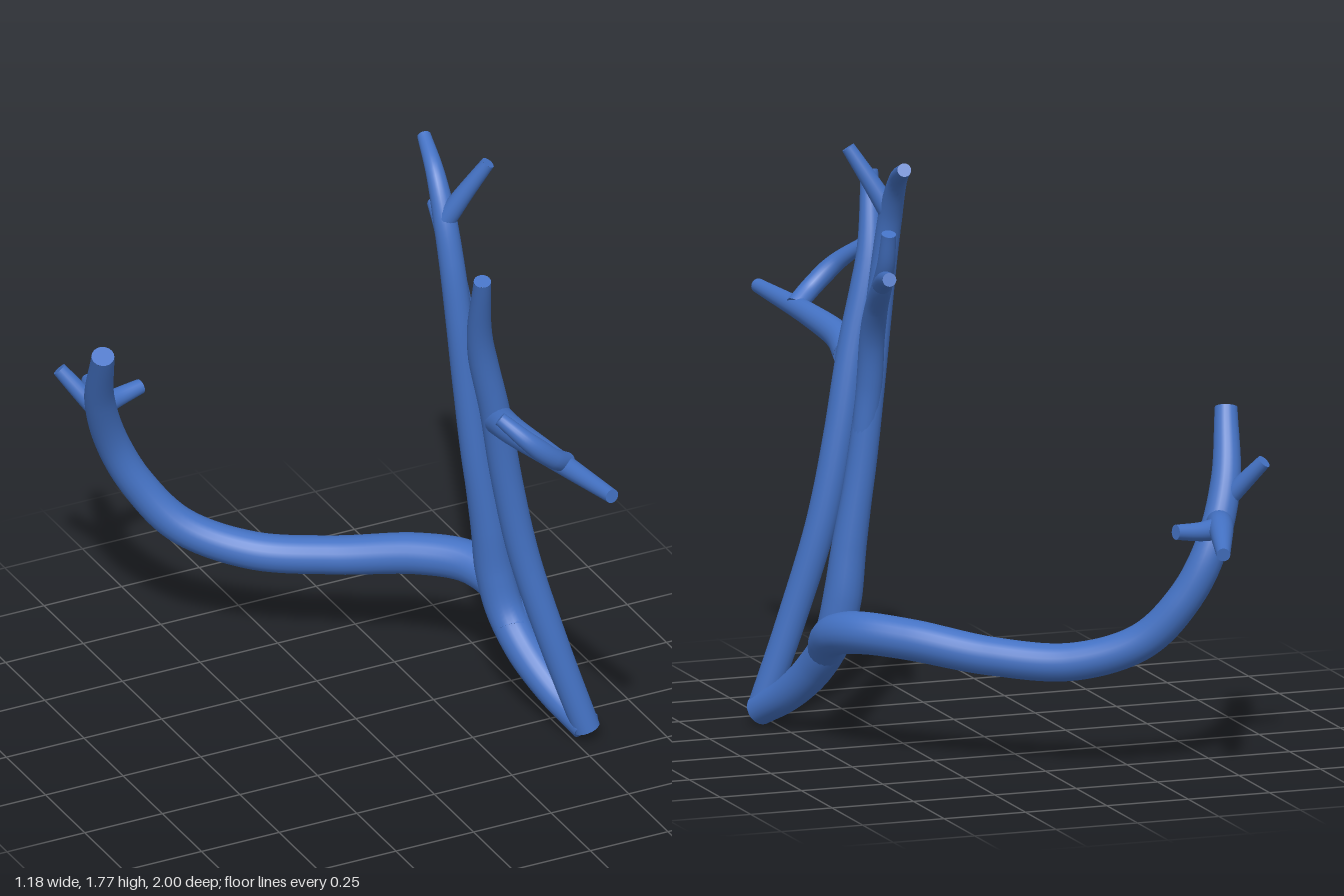
import * as THREE from 'three';
import { mergeGeometries } from 'three/addons/utils/BufferGeometryUtils.js';

const SIDES = 20;

// Tapered, capped tube along a smooth path; radii are spread evenly over its length.
function taperedTube(points, radii) {
  const curve = new THREE.CatmullRomCurve3(points.map(p => new THREE.Vector3(...p)), false, 'centripetal');
  const rings = points.length * 8;
  const radiusAt = u => {
    const t = u * (radii.length - 1);
    const i = Math.min(Math.floor(t), radii.length - 2);
    return THREE.MathUtils.lerp(radii[i], radii[i + 1], t - i);
  };
  const tube = new THREE.TubeGeometry(curve, rings, 1, SIDES, false);
  const pos = tube.attributes.position;
  const v = new THREE.Vector3();
  for (let i = 0; i <= rings; i++) {
    const centre = curve.getPointAt(i / rings);
    for (let j = 0; j <= SIDES; j++) {
      const k = i * (SIDES + 1) + j;
      v.fromBufferAttribute(pos, k).sub(centre).multiplyScalar(radiusAt(i / rings)).add(centre);
      pos.setXYZ(k, v.x, v.y, v.z);
    }
  }
  // flat end caps
  const caps = [0, 1].map(u => {
    const dir = curve.getTangentAt(u).multiplyScalar(u ? 1 : -1);
    const cap = new THREE.CircleGeometry(radiusAt(u), SIDES);
    cap.applyQuaternion(new THREE.Quaternion().setFromUnitVectors(new THREE.Vector3(0, 0, 1), dir));
    const c = curve.getPointAt(u);
    return cap.translate(c.x, c.y, c.z);
  });
  return mergeGeometries([tube, ...caps]);
}

export function createModel() {
  const group = new THREE.Group();
  const blue = new THREE.MeshStandardMaterial({ color: 0x4472c4 });
  blue.name = 'blue';

  const branch = (name, radii, points) => {
    const mesh = new THREE.Mesh(taperedTube(points, radii), blue);
    mesh.name = name;
    group.add(mesh);
  };

  // Front stem with its forward twig
  branch('frontStem', [0.04, 0.043, 0.045, 0.045, 0.042, 0.025], [
    [0.54, 0.035, 0.4], [0.46, 0.3, 0.36], [0.38, 0.6, 0.32], [0.33, 0.85, 0.312],
    [0.285, 1.1, 0.322], [0.225, 1.36, 0.345], [0.195, 1.6, 0.42]]);
  branch('forwardTwig', [0.045, 0.038, 0.03, 0.021], [
    [0.29, 1.08, 0.34], [0.275, 1.105, 0.45], [0.285, 1.127, 0.65], [0.32, 1.15, 1]]);
  branch('forwardTwigShoot', [0.03, 0.03, 0.02], [
    [0.3, 1.14, 0.745], [0.24, 1.185, 0.775], [0.17, 1.25, 0.77], [0.105, 1.315, 0.71]]);

  // Middle stem and its curved tip
  branch('middleStem', [0.045, 0.055, 0.056, 0.045, 0.041, 0.039, 0.035, 0.02], [
    [0.54, 0.04, 0.4], [0.495, 0.11, 0.28], [0.455, 0.2, 0.18], [0.43, 0.3, 0.1],
    [0.41, 0.42, 0.073], [0.39, 0.58, 0.068], [0.355, 0.82, 0.06], [0.33, 1.05, 0.05],
    [0.31, 1.27, 0.04], [0.297, 1.45, 0.018], [0.293, 1.58, -0.02], [0.3, 1.68, -0.09],
    [0.325, 1.735, -0.21]]);
  branch('middleStemShoot', [0.032, 0.02], [[0.295, 1.57, -0.01], [0.345, 1.66, 0.018], [0.4, 1.755, 0.05]]);

  // Secondary branch of the middle stem
  branch('rearwardBranch', [0.036, 0.038, 0.036, 0.03, 0.021], [
    [0.35, 0.9, 0.055], [0.34, 1.06, 0.035], [0.345, 1.2, 0], [0.355, 1.3, -0.06],
    [0.37, 1.39, -0.15], [0.376, 1.46, -0.197], [0.38, 1.555, -0.23]]);
  branch('rearwardBranchShoot', [0.03, 0.02], [[0.368, 1.385, -0.14], [0.388, 1.418, -0.22], [0.41, 1.44, -0.315]]);

  // Long limb sweeping to the back and up
  branch('sweepingLimb', [0.053, 0.062, 0.06, 0.056, 0.055, 0.053, 0.05, 0.045, 0.033], [
    [0.435, 0.25, 0.14], [0.455, 0.31, 0.06], [0.453, 0.34, -0.01], [0.415, 0.36, -0.11],
    [0.31, 0.355, -0.225], [0.12, 0.323, -0.375], [-0.08, 0.32, -0.515], [-0.25, 0.39, -0.625],
    [-0.355, 0.52, -0.69], [-0.425, 0.66, -0.71], [-0.49, 0.84, -0.665], [-0.53, 1.045, -0.565]]);
  branch('backTwig', [0.04, 0.035, 0.02], [
    [-0.46, 0.735, -0.69], [-0.425, 0.75, -0.8], [-0.36, 0.71, -0.995]]);
  branch('backTwigShoot', [0.033, 0.022], [[-0.425, 0.742, -0.79], [-0.36, 0.742, -0.815], [-0.275, 0.75, -0.832]]);
  branch('sideTwig', [0.03, 0.021], [[-0.48, 0.79, -0.675], [-0.525, 0.85, -0.71], [-0.575, 0.92, -0.755]]);

  return group;
}
